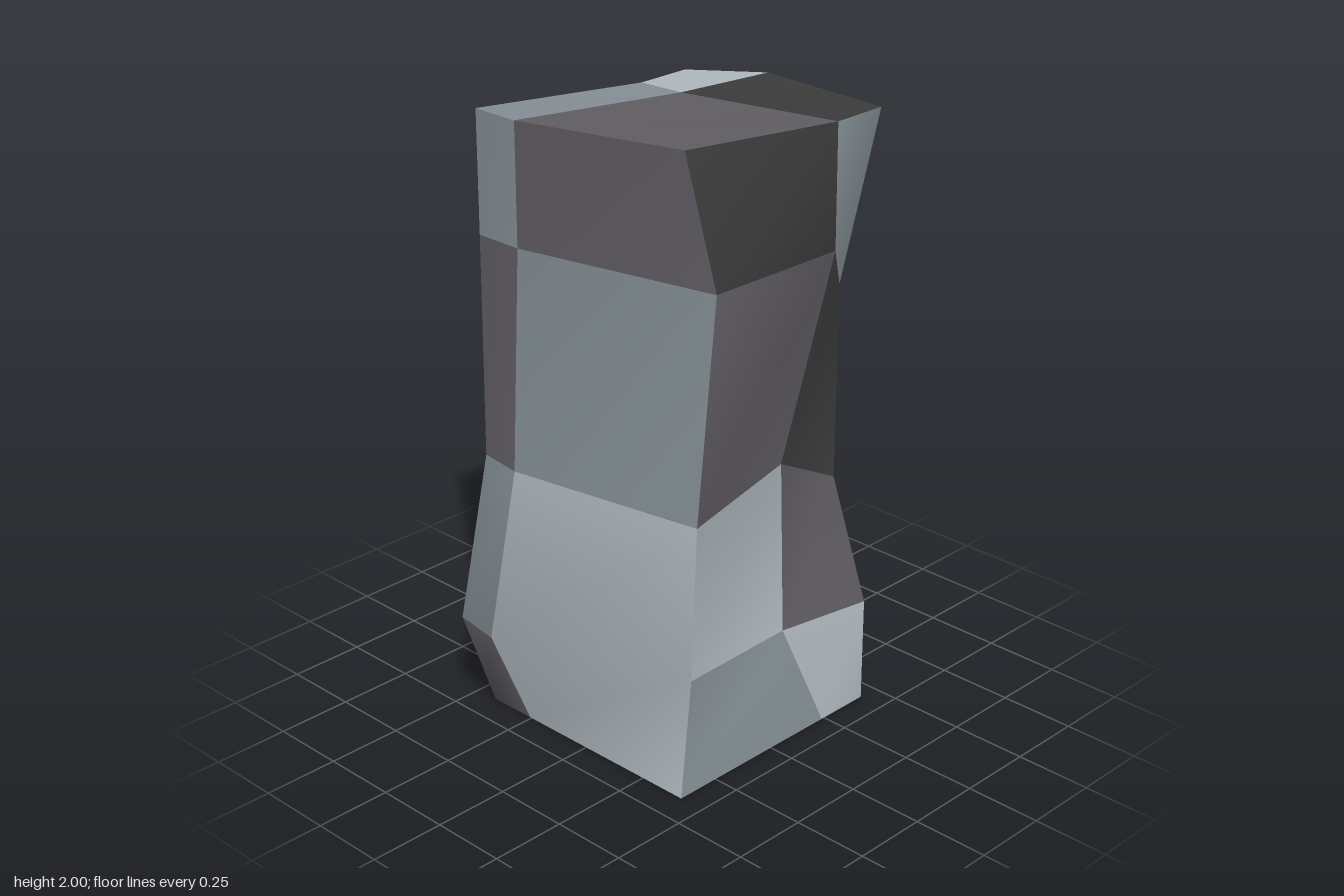
import * as THREE from 'three';
import { toCreasedNormals } from 'three/addons/utils/BufferGeometryUtils.js';

const flat = (name, color) => {
  const m = new THREE.MeshStandardMaterial({ color });
  m.name = name;
  return m;
};

// regular grid lines of the block
const X = [-0.42, -0.255, 0.413];
const Y = [0, 0.35, 0.89, 1.59, 1.98];
const Z = [-0.43, -0.24, 0.4];

// corners pushed off the grid, keyed by column, level and depth
const MOVED = {
  // front
  '012': [-0.42, 0.35, 0.525], '112': [-0.258, 0.35, 0.55], '212': [0.367, 0.35, 0.31],
  '022': [-0.39, 0.89, 0.43], '122': [-0.24, 0.89, 0.45], '222': [0.417, 0.89, 0.34],
  '232': [0.413, 1.59, 0.26], '242': [0.322, 2, 0.295],
  // right side
  '211': [0.355, 0.35, -0.11], '221': [0.3, 0.89, -0.15], '231': [0.413, 1.585, -0.243],
  '220': [0.31, 0.77, -0.385], '230': [0.29, 1.4, -0.41],
  // back
  '110': [-0.26, 0.35, -0.33], '120': [-0.215, 0.88, -0.435],
  '130': [-0.195, 1.58, -0.47], '140': [-0.14, 1.94, -0.55],
  // left side
  '010': [-0.42, 0.35, -0.267], '020': [-0.378, 0.88, -0.326],
  '030': [-0.358, 1.58, -0.34], '040': [-0.38, 1.925, -0.43],
  '021': [-0.42, 0.89, -0.12], '031': [-0.378, 1.605, -0.195], '041': [-0.38, 1.925, -0.24],
  // top
  '141': [-0.212, 1.93, -0.24],
};

// cell colours per side, row by row from the top as seen from outside
const PATTERN = [
  'DB CD AC BA', // right
  'BC CB BA BD', // left
  'AD BC',       // top
  'CD CC',       // bottom
  'BC CB BA CA', // front
  'DA BC AD BC', // back
].join('').replace(/ /g, '');

export function createModel() {
  const group = new THREE.Group();
  group.name = 'block';
  const materials = [
    flat('pale grey', 0xb3bcc2), flat('blue grey', 0x879298),
    flat('purple grey', 0x625f66), flat('charcoal', 0x3d3d3d),
  ];

  // segmented box whose vertices are moved onto the irregular corners
  const box = new THREE.BoxGeometry(2, 4, 2, 2, 4, 2);
  const p = box.attributes.position;
  for (let n = 0; n < p.count; n++) {
    const i = Math.round(p.getX(n) + 1);
    const j = Math.round(p.getY(n) + 2);
    const k = Math.round(p.getZ(n) + 1);
    p.setXYZ(n, ...(MOVED[`${i}${j}${k}`] || [X[i], Y[j], Z[k]]));
  }

  // one material group per cell
  box.clearGroups();
  [...PATTERN].forEach((c, n) => box.addGroup(n * 6, 6, 'ABCD'.indexOf(c)));

  // gentle bends are smooth, the block's main edges stay sharp
  const body = new THREE.Mesh(toCreasedNormals(box, 0.8), materials);
  body.name = 'patchedBody';
  group.add(body);
  return group;
}
